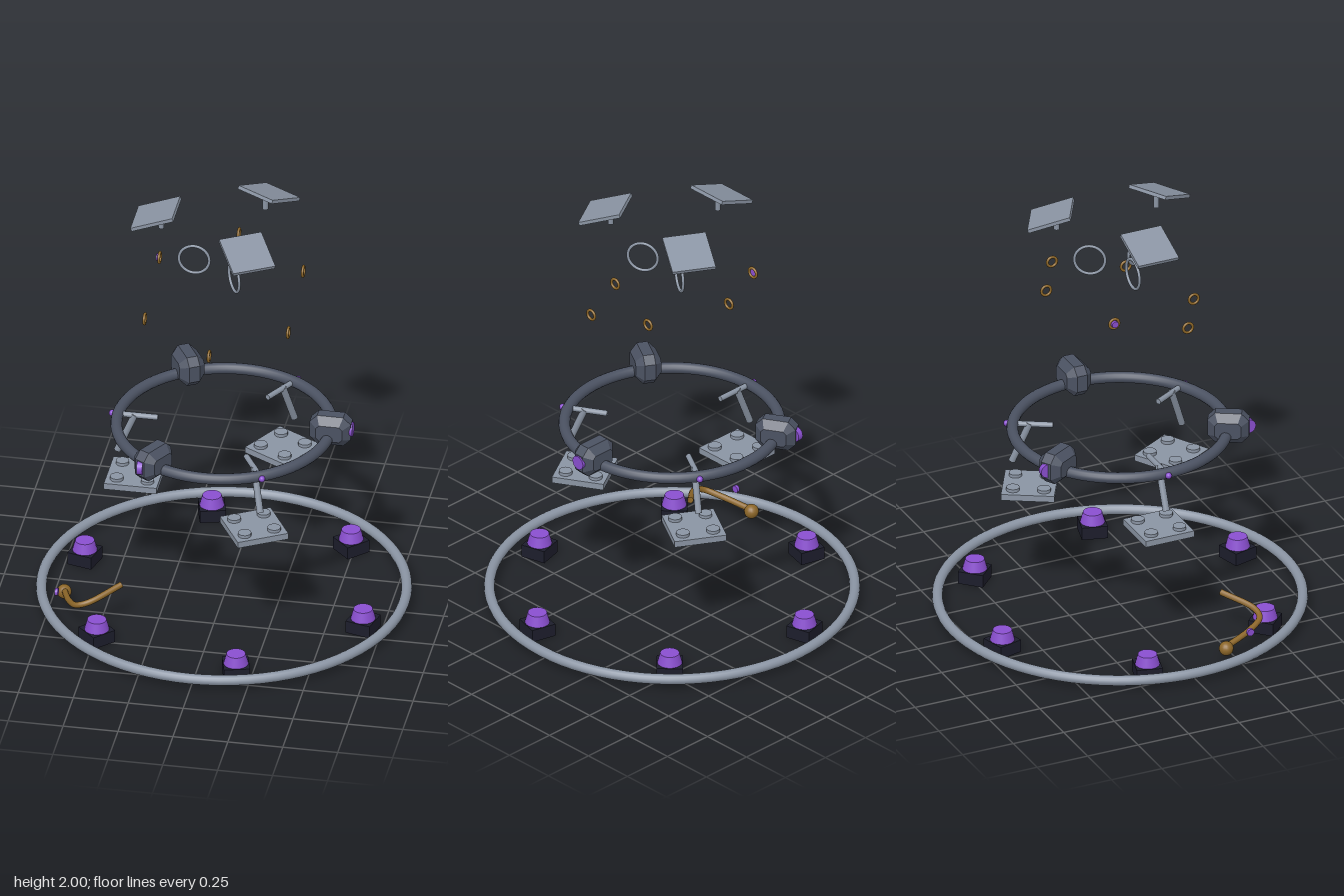
import * as THREE from 'three';

const mat = (color, extra = {}) => new THREE.MeshStandardMaterial({ color, ...extra });
const steel = mat(0x8a94a3);
const slate = mat(0x4b5262);
const purple = mat(0x8a4fd0);
const black = mat(0x1c1d2b);
const brass = mat(0x8c6628);

function add(parent, name, geometry, material, x = 0, y = 0, z = 0) {
  const mesh = new THREE.Mesh(geometry, material);
  mesh.name = name;
  mesh.position.set(x, y, z);
  parent.add(mesh);
  return mesh;
}

// Group turned so that its local +x points outwards at the given angle
function spoke(parent, name, degrees) {
  const g = new THREE.Group();
  g.name = name;
  g.rotation.y = -THREE.MathUtils.degToRad(degrees);
  parent.add(g);
  return g;
}

// Round bar between two points
function rod(parent, name, a, b, radius, material) {
  const from = new THREE.Vector3(...a), to = new THREE.Vector3(...b);
  const dir = to.clone().sub(from);
  const mesh = add(parent, name, new THREE.CylinderGeometry(radius, radius, dir.length(), 12), material);
  mesh.position.copy(from).add(to).multiplyScalar(0.5);
  mesh.quaternion.setFromUnitVectors(new THREE.Vector3(0, 1, 0), dir.normalize());
  return mesh;
}

// Disc whose axis runs along x
const discX = (r, length) => new THREE.CylinderGeometry(r, r, length, 20).rotateZ(Math.PI / 2);

const flatRing = (R, r) => new THREE.TorusGeometry(R, r, 14, 80).rotateX(Math.PI / 2);

// Box with all edges cut off
function chamferedBox(w, h, d, c) {
  const x = w / 2, y = h / 2;
  const shape = new THREE.Shape([
    [-x + c, -y], [x - c, -y], [x, -y + c], [x, y - c],
    [x - c, y], [-x + c, y], [-x, y - c], [-x, -y + c],
  ].map(p => new THREE.Vector2(...p)));
  return new THREE.ExtrudeGeometry(shape, {
    depth: d - 2 * c, bevelEnabled: true, bevelSegments: 1,
    bevelThickness: c, bevelSize: c, bevelOffset: -c,
  }).translate(0, 0, -d / 2 + c);
}

export function createModel() {
  const model = new THREE.Group();
  model.name = 'explodedRingAssembly';

  // Base ring with six button feet
  add(model, 'baseRing', flatRing(0.818, 0.024), steel, 0, 0.047, 0);
  for (let i = 0; i < 6; i++) {
    const foot = spoke(model, 'foot', 15 + 60 * i);
    add(foot, 'footBase', new THREE.BoxGeometry(0.118, 0.06, 0.118), black, 0.69, 0.03, 0);
    add(foot, 'footButton', new THREE.CylinderGeometry(0.043, 0.056, 0.05, 24), purple, 0.69, 0.084, 0);
  }

  // Bent lever with a round knob and a small loose pin
  const path = new THREE.CatmullRomCurve3([
    [-0.69, 0.07, 0.2], [-0.64, 0.1, 0.34], [-0.595, 0.125, 0.41],
    [-0.54, 0.145, 0.41], [-0.41, 0.19, 0.305],
  ].map(p => new THREE.Vector3(...p)));
  const lever = add(model, 'lever', new THREE.TubeGeometry(path, 32, 0.014, 10), brass);
  lever.material = mat(0x8c6628, { side: THREE.DoubleSide });
  add(model, 'leverKnob', new THREE.SphereGeometry(0.033, 16, 12), brass, -0.69, 0.062, 0.2);
  add(model, 'leverPin', discX(0.017, 0.014), purple, -0.703, 0.125, 0.313);

  // Middle ring with three chamfered blocks
  add(model, 'middleRing', flatRing(0.482, 0.026), slate, 0, 0.895, 0);
  const blockGeometry = chamferedBox(0.187, 0.146, 0.118, 0.034);
  for (const angle of [0, 120, 240]) {
    const block = spoke(model, 'ringBlock', angle);
    add(block, 'blockBody', blockGeometry, slate, 0.488, 0.927, 0);
    // Every block lamp faces along x
    const a = THREE.MathUtils.degToRad(angle);
    add(model, 'blockLamp', discX(0.033, 0.026), purple,
      0.575 * Math.cos(a), 0.93, 0.575 * Math.sin(a));
  }

  // Three identical stacks of loose parts
  for (const angle of [60, 180, 300]) {
    const stack = spoke(model, 'stack', angle);

    // Bead on the outside of the middle ring
    add(stack, 'ringBead', new THREE.SphereGeometry(0.015, 14, 10), purple, 0.509, 0.895, 0);

    // Arm and slanted leg
    rod(stack, 'arm', [0.3, 0.895, 0], [0.48, 0.895, 0], 0.013, steel);
    rod(stack, 'leg', [0.405, 0.9, 0], [0.485, 0.706, 0], 0.016, steel);

    // Studded plate
    add(stack, 'plate', new THREE.BoxGeometry(0.24, 0.03, 0.24), steel, 0.405, 0.581, 0);
    for (const sx of [-1, 1]) for (const sz of [-1, 1]) {
      add(stack, 'plateStud', new THREE.CylinderGeometry(0.03, 0.03, 0.016, 18), steel,
        0.405 + sx * 0.07, 0.603, sz * 0.07);
    }

    // Upright hoop
    add(stack, 'hoop', new THREE.TorusGeometry(0.069, 0.007, 10, 40), steel, 0.136, 1.738, 0);

    // Tilted panel on a short post
    const panel = add(stack, 'panel', new THREE.BoxGeometry(0.203, 0.017, 0.2), steel, 0.31, 1.957, 0);
    panel.rotation.z = -0.36;
    rod(stack, 'panelPost', [0.285, 1.888, 0], [0.285, 1.96, 0], 0.013, steel);
  }

  // Six small brass rings on a sloping circle
  for (let i = 0; i < 6; i++) {
    const a = Math.PI / 6 + i * Math.PI / 3;
    const x = 0.37 * Math.cos(a) * 1.02, z = 0.365 * Math.sin(a);
    const ring = add(model, 'smallRing', new THREE.TorusGeometry(0.023, 0.0065, 10, 24), brass,
      x, 1.567 - 0.285 * z, z);
    ring.rotation.y = Math.PI / 2;
  }
  add(model, 'smallRingGem', discX(0.016, 0.014), purple, -0.334, 1.619, -0.183);

  return model;
}
